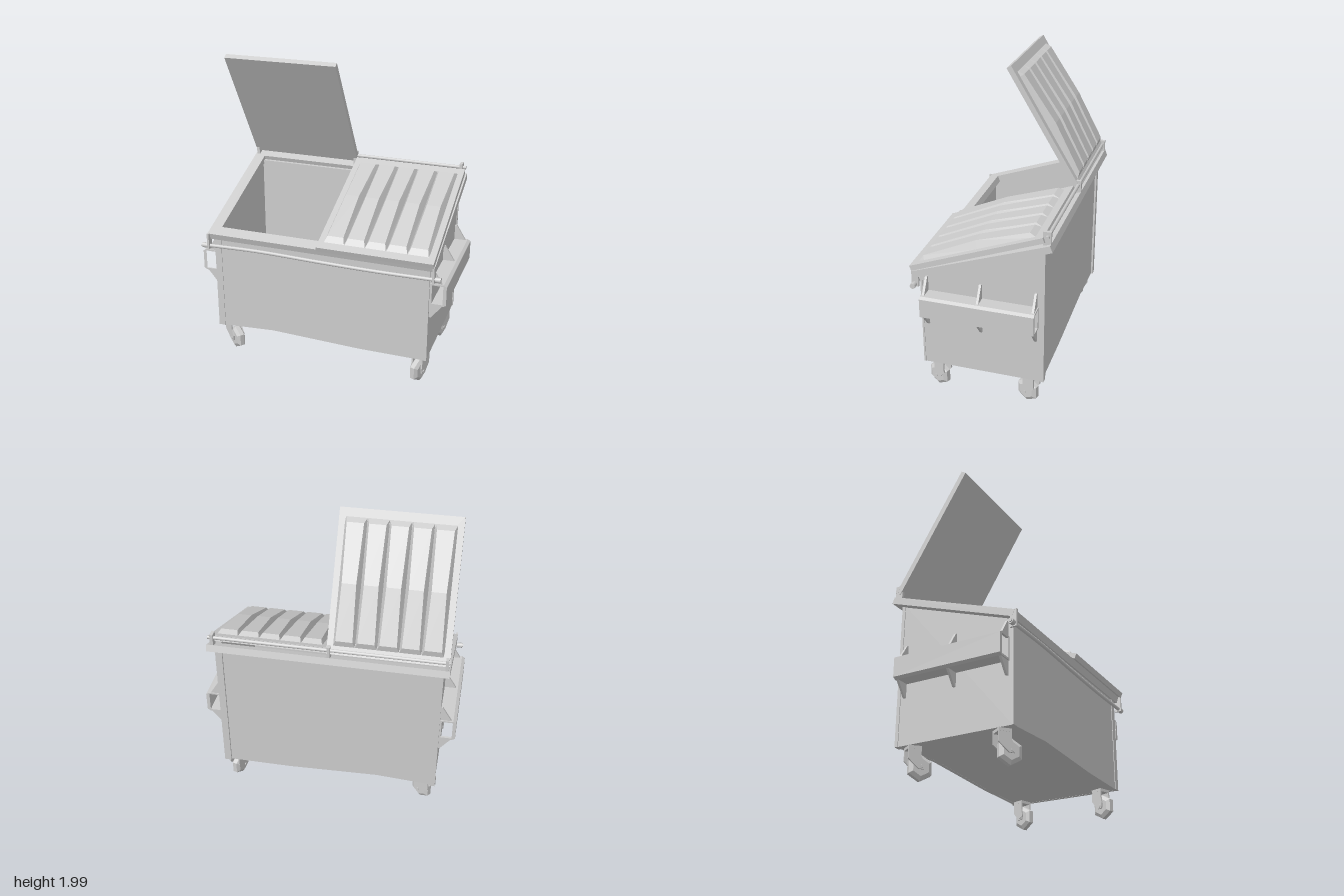
import * as THREE from 'three';

const metal = new THREE.MeshStandardMaterial({ color: 0xcccccc });
metal.name = 'grey metal';

function add(parent, name, geo, x = 0, y = 0, z = 0) {
  const m = new THREE.Mesh(geo, metal);
  m.name = name;
  m.position.set(x, y, z);
  parent.add(m);
  return m;
}
const box = (w, h, d) => new THREE.BoxGeometry(w, h, d);
const shapeOf = pts => new THREE.Shape(pts.map(p => new THREE.Vector2(p[0], p[1])));
const extrude = (shape, depth) => new THREE.ExtrudeGeometry(shape, { depth, bevelEnabled: false });
const faceted = geo => {
  const g = geo.index ? geo.toNonIndexed() : geo;
  g.computeVertexNormals();
  return g;
};
// Shallow dent that lifts the lower edge of the bin
const dent = x => 0.022 * Math.max(0, 1 - Math.abs(x + 0.33) / (x < -0.33 ? 0.37 : 0.6));

// Lid: flat slab with five crowned panels; hinge at the origin, length along +z
function makeLid(name, centreX, angle) {
  const lid = new THREE.Group();
  lid.name = name;
  const length = 0.9, thick = 0.035;
  add(lid, 'lidSlab', box(0.758, thick, length), 0, thick / 2, length / 2);
  const stations = [[0.055, 0], [0.085, 0.027], [0.44, 0.048], [0.81, 0.027], [0.845, 0]];
  const pitch = 0.136;
  for (let i = 0; i < 5; i++) {
    const geo = new THREE.PlaneGeometry(1, 1, 3, 4).rotateX(-Math.PI / 2);
    const pos = geo.attributes.position;
    for (let v = 0; v < pos.count; v++) {
      const col = v % 4, [z, h] = stations[Math.floor(v / 4)];
      const inner = col === 1 || col === 2;
      const half = pitch / 2 - (inner ? 0.004 + h * 0.4 : 0);
      pos.setXYZ(v, col < 2 ? -half : half, inner ? h : 0, z);
    }
    add(lid, 'raisedPanel', faceted(geo), (i - 2) * pitch, thick + 0.001, 0);
  }
  lid.position.set(centreX, 1.2, -0.405);
  lid.rotation.x = angle;
  return lid;
}

// Swivel caster with a six-sided wheel
function makeCaster(x, z, turn, trail) {
  const c = new THREE.Group();
  c.name = 'caster';
  const profile = [[0, -0.03], [0.055, -0.03], [0.08, -0.015], [0.08, 0.015], [0.055, 0.03], [0, 0.03]];
  const wheel = new THREE.LatheGeometry(profile.map(p => new THREE.Vector2(p[0], p[1])), 6);
  add(c, 'wheel', faceted(wheel.rotateZ(Math.PI / 2).rotateX(Math.PI / 2)), 0, 0.08, trail);
  add(c, 'swivelPlate', box(0.085, 0.02, 0.08), 0, 0.192, 0);
  const fork = shapeOf([[-0.04, 0.19], [-0.04, 0.12], [trail - 0.02, 0.065], [trail + 0.015, 0.065],
    [trail + 0.02, 0.1], [0.04, 0.14], [0.04, 0.19]]);
  for (const s of [-1, 1])
    add(c, 'forkPlate', extrude(fork, 0.01).rotateY(-Math.PI / 2), s * 0.037 + 0.005, 0, 0);
  add(c, 'axle', new THREE.CylinderGeometry(0.01, 0.01, 0.095, 6).rotateZ(Math.PI / 2), 0, 0.08, trail);
  c.position.set(x, 0, z);
  c.rotation.y = turn;
  return c;
}

// Hollow lifting pocket with gussets, built for the +x side
function sidePocket(side) {
  const g = new THREE.Group();
  g.name = side > 0 ? 'leftPocket' : 'rightPocket';
  const mx = pts => pts.map(([x, y]) => [x * side, y]);
  const tube = shapeOf(mx([[0.72, 0.59], [0.81, 0.59], [0.83, 0.602], [0.83, 0.728], [0.81, 0.74], [0.72, 0.74]]));
  tube.holes.push(shapeOf(mx([[0.737, 0.602], [0.808, 0.602], [0.808, 0.73], [0.737, 0.73]])));
  add(g, 'pocketTube', extrude(tube, 0.73), 0, 0, -0.365);
  for (const z of [-0.35, 0, 0.35]) {
    add(g, 'upperGusset', extrude(shapeOf(mx([[0.72, 0.735], [0.8, 0.735], [0.735, 0.84], [0.72, 0.84]])), 0.015), 0, 0, z - 0.0075);
    add(g, 'lowerGusset', extrude(shapeOf(mx([[0.72, 0.595], [0.81, 0.595], [0.735, 0.5], [0.72, 0.5]])), 0.015), 0, 0, z - 0.0075);
  }
  return g;
}

export function createModel() {
  const root = new THREE.Group();
  root.name = 'dumpster';
  const bin = new THREE.Group();
  bin.name = 'bin';
  bin.rotation.y = -0.014;
  root.add(bin);

  // Sloped side walls
  const side = shapeOf([[0.385, 0.2], [0.385, 0.865], [-0.39, 1.14], [-0.39, 0.2]]);
  for (const x of [0.722, -0.697])
    add(bin, 'sideWall', extrude(side, 0.025).rotateY(-Math.PI / 2), x, 0, 0);

  // Front and back walls with a dented lower edge
  const xs = [-0.7, -0.5, -0.33, -0.1, 0.27, 0.7];
  for (const [name, top, z] of [['frontWall', 0.865, 0.365], ['backWall', 1.14, -0.39]]) {
    const wall = shapeOf([...xs.map(x => [x, 0.2 + dent(x)]), [0.7, top], [-0.7, top]]);
    add(bin, name, extrude(wall, 0.025), 0, 0, z);
  }

  // Floor
  const floor = new THREE.BoxGeometry(1.4, 0.02, 0.755, 20, 1, 1);
  const fp = floor.attributes.position;
  for (let i = 0; i < fp.count; i++) fp.setY(i, fp.getY(i) + dent(fp.getX(i)));
  add(bin, 'floor', faceted(floor), 0, 0.211, 0);

  // Corner posts
  for (const s of [-1, 1]) {
    add(bin, 'frontPost', box(0.045, 0.66, 0.012), s * 0.704, 0.53, 0.388);
    add(bin, 'backPost', box(0.045, 0.93, 0.022), s * 0.704, 0.665, -0.392);
  }

  // Sloped rim frame
  const rim = shapeOf([[-0.765, 0], [0.765, 0], [0.765, 0.913], [-0.765, 0.913]]);
  rim.holes.push(shapeOf([[-0.692, 0.065], [0.692, 0.065], [0.692, 0.835], [-0.692, 0.835]]));
  const frame = add(bin, 'rimFrame', extrude(rim, 0.045).rotateX(Math.PI / 2), 0, 1.19, -0.44);
  frame.rotation.x = 0.341;

  // Lids: one closed, one thrown open
  bin.add(makeLid('closedLid', 0.38, 0.364));
  bin.add(makeLid('openLid', -0.38, -1.03));

  // Hinge rod and lugs
  const rod = (r, len) => new THREE.CylinderGeometry(r, r, len, 8).rotateZ(Math.PI / 2);
  add(bin, 'hingeRod', rod(0.012, 1.52), 0, 1.235, -0.42);
  for (const x of [-0.745, -0.015, 0.73])
    add(bin, 'hingeLug', box(0.02, 0.09, 0.05), x, 1.22, -0.415);

  // Slightly bent front bar on end brackets
  const bar = new THREE.CatmullRomCurve3([[-0.81, 0.797], [-0.4, 0.806], [0, 0.797], [0.4, 0.792], [0.8, 0.797]]
    .map(([x, y]) => new THREE.Vector3(x, y, 0.415)));
  add(bin, 'frontBar', new THREE.TubeGeometry(bar, 16, 0.012, 8));
  for (const s of [-1, 1]) {
    add(bin, 'barBracket', box(0.014, 0.11, 0.045), s * 0.757, 0.832, 0.412);
    add(bin, 'barCollar', rod(0.018, 0.035), s * 0.785, 0.797, 0.415);
  }

  for (const s of [1, -1]) bin.add(sidePocket(s));

  // Casters, each pair swivelled its own way
  for (const z of [-0.31, 0.29]) {
    bin.add(makeCaster(0.665, z, -0.35, 0.025));
    bin.add(makeCaster(-0.67, z, 0.95, 0.045));
  }
  return root;
}
